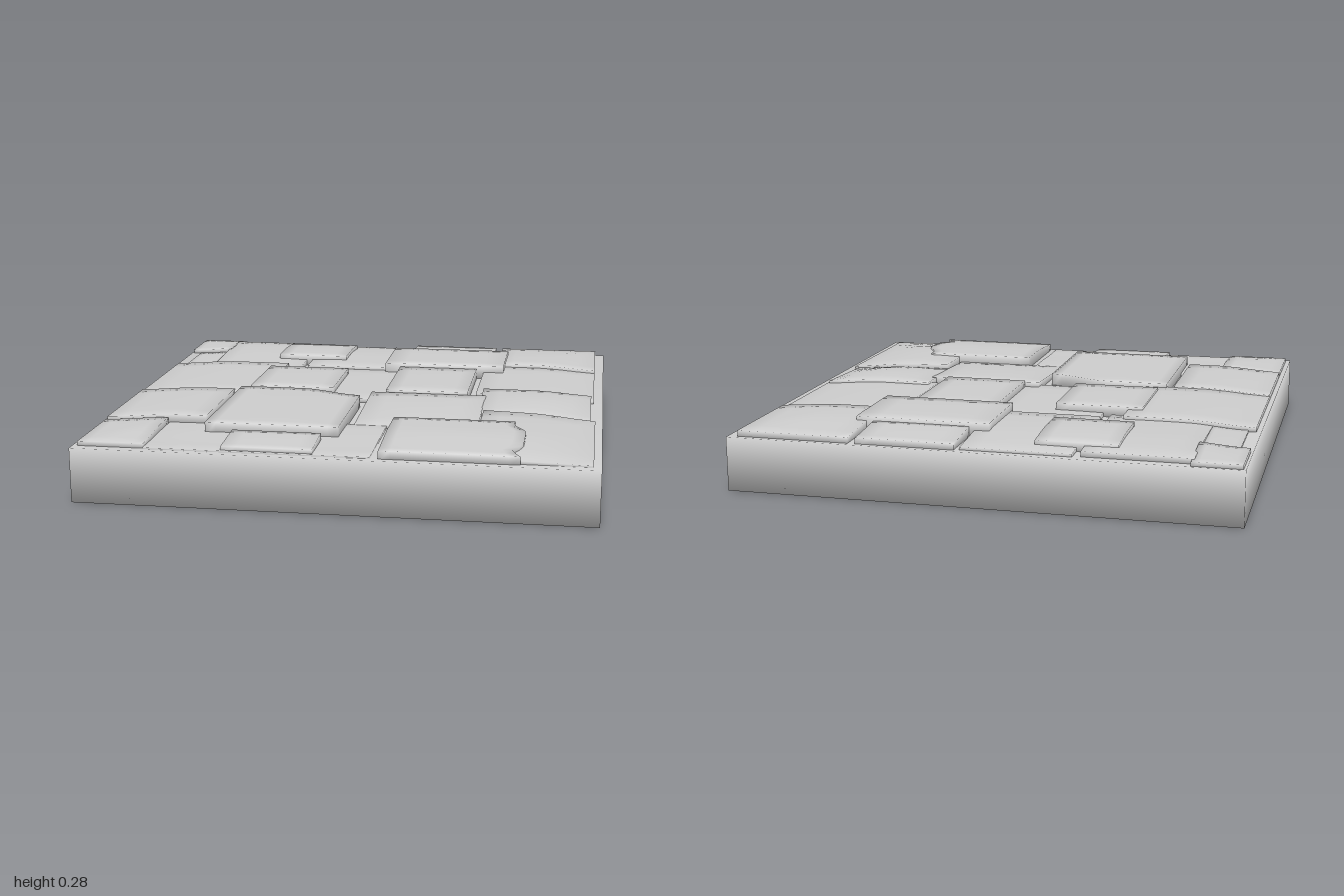
import * as THREE from 'three';
import { mergeVertices } from 'three/addons/utils/BufferGeometryUtils.js';

const SLAB = 0.215;
const smooth = THREE.MathUtils.smoothstep;

// Shared corners give the soft, rounded shading of worn stone
function soften(geometry) {
  geometry.deleteAttribute('uv');
  geometry.deleteAttribute('normal');
  const g = mergeVertices(geometry, 1e-5);
  g.computeVertexNormals();
  return g;
}

// Flat paving stone: bounds and top height; the top has a slight crown and
// sinks towards the rim of the slab. Options: tilt in x and z, crown, outline rule
function paver([x0, x1, z0, z1, height], { tiltX = 0, tiltZ = 0, crown = 0.004, outline } = {}) {
  const n = outline ? 12 : 6;
  const geometry = new THREE.BoxGeometry(1, 1, 1, n, 1, n);
  const p = geometry.attributes.position;
  for (let i = 0; i < p.count; i++) {
    const u = p.getX(i) + 0.5, v = p.getZ(i) + 0.5;
    let x = x0 + (x1 - x0) * u, z = z0 + (z1 - z0) * v;
    if (outline) [x, z] = outline(x, z, u, v);
    const rim = 0.018 * smooth(Math.max(Math.abs(x), Math.abs(z)), 0.7, 1);
    const bulge = crown * 16 * u * (1 - u) * v * (1 - v);
    const top = height + bulge - rim + tiltX * (u - 0.5) + tiltZ * (v - 0.5);
    p.setXYZ(i, x, p.getY(i) > 0 ? Math.max(top, SLAB + 0.006) : SLAB - 0.01, z);
  }
  return soften(geometry);
}

// Back edge swept away towards the right corner
const sweptCorner = (x, z, u, v) => [x, z + 0.09 * smooth(u, 0.5, 1) * (1 - v)];

// Worn, wavy right edge
const wornEdge = (x, z, u, v) =>
  [x - u * u * (0.05 * (1 - smooth(v, 0.1, 0.35)) + 0.04 * Math.exp(-(((v - 0.85) / 0.1) ** 2))), z];

// Bounds x0, x1, z0, z1 and height of each ordinary stone
const STONES = [
  [-0.99, -0.80, -0.99, -0.75, 0.25],
  [-0.95, -0.80, -0.74, -0.43, 0.235],
  [-0.52, -0.20, -0.89, -0.57, 0.262],
  [-0.36, 0.07, -0.97, -0.44, 0.243],
  [0.09, 0.48, -0.98, -0.76, 0.257],
  [0.01, 0.55, -0.77, -0.41, 0.272],
  [0.51, 0.96, -0.98, -0.54, 0.256],
  [-0.98, -0.45, -0.44, 0.13, 0.25],
  [-0.51, -0.15, -0.33, 0.06, 0.26],
  [-0.35, 0.10, -0.45, 0.12, 0.231],
  [0.08, 0.43, -0.40, 0.06, 0.26],
  [0.46, 0.96, -0.55, 0.00, 0.243],
  [-0.98, -0.57, 0.12, 0.60, 0.256],
  [-0.98, -0.72, 0.62, 0.96, 0.25],
  [-0.72, 0.15, 0.52, 0.97, 0.225],
  [-0.42, -0.07, 0.77, 0.96, 0.253],
];

export function createModel() {
  const model = new THREE.Group();
  model.name = 'pavedFloorTile';
  const stone = new THREE.MeshStandardMaterial({ color: 0xcccccc });
  const add = (name, geometry) => {
    const mesh = new THREE.Mesh(geometry, stone);
    mesh.name = name;
    model.add(mesh);
  };

  // Square base slab
  add('baseSlab', soften(new THREE.BoxGeometry(2, SLAB, 2).translate(0, SLAB / 2, 0)));

  // Overlapping paving stones
  STONES.forEach((spec, i) => add(`pavingStone${i + 1}`, paver(spec)));

  // Sunken, tilted and humped stones
  add('sunkenStone', paver([-0.81, -0.39, -0.96, -0.36, 0.243], { tiltZ: -0.02 }));
  add('humpedStone', paver([0.49, 0.95, -0.05, 0.32, 0.246], { tiltZ: -0.016, crown: 0.018 }));
  add('tiltedStone', paver([0.02, 0.51, 0.07, 0.53, 0.24], { tiltZ: -0.023, crown: 0.012 }));
  add('cornerStone', paver([0.52, 0.97, 0.33, 0.96, 0.246], { tiltX: -0.012, tiltZ: -0.005, crown: 0.01 }));

  // Large stones with broken outlines
  add('sweptStone', paver([-0.54, -0.01, 0.11, 0.73, 0.266], { outline: sweptCorner }));
  add('wornStone', paver([0.18, 0.71, 0.53, 0.97, 0.264], { crown: 0.006, outline: wornEdge }));
  return model;
}
